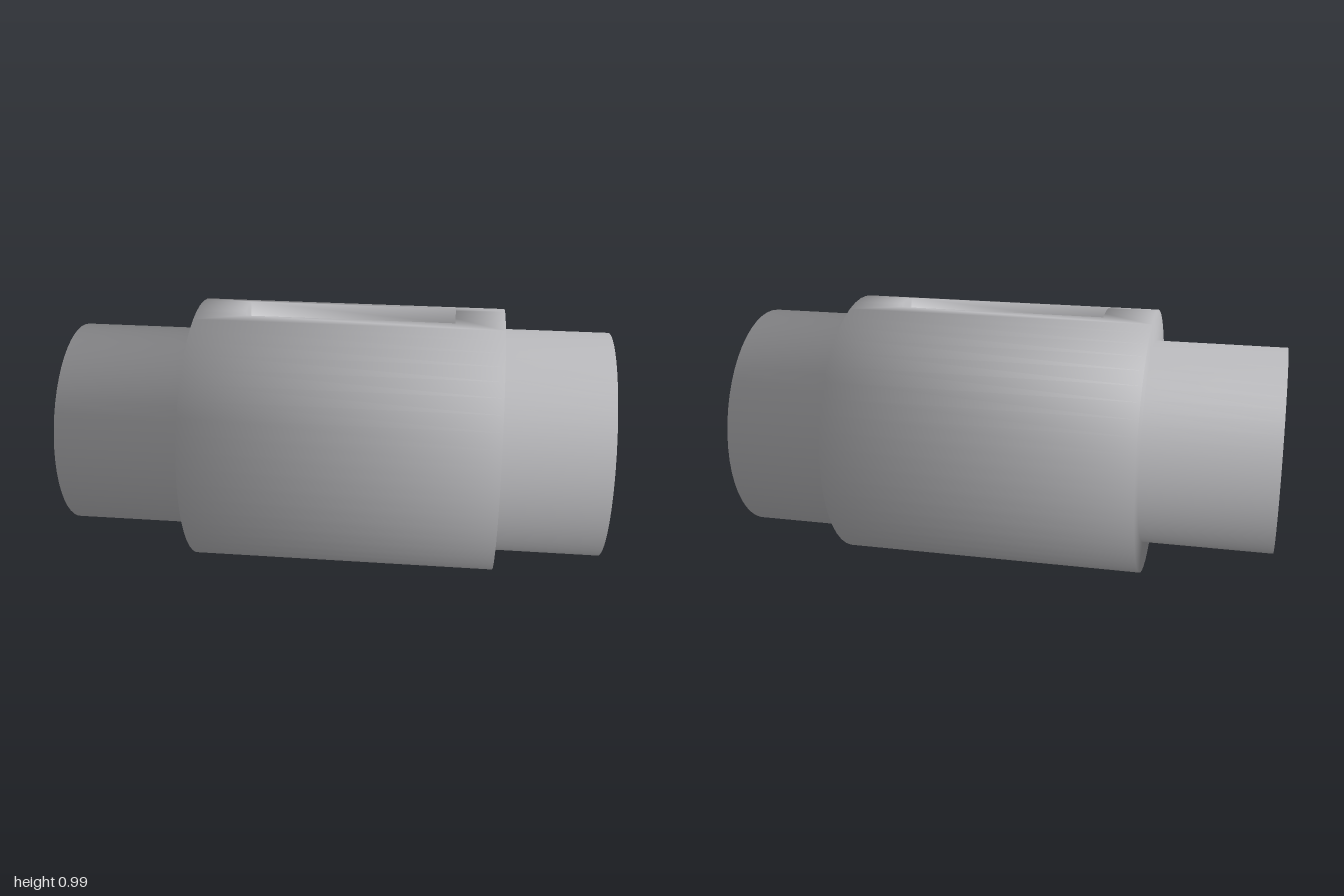
import * as THREE from 'three';

const SIDES = 52;
const BODY_R = 0.495;
const AXIS_Y = 0.495;
const SLOT = { x0: -0.34, x1: 0.43, halfWidth: 0.08, floorY: 0.925 };

// Closed half-section of the sleeve: [x, radius]
const PROFILE = [
  [-1, 0.267], [-1, 0.38], [-0.52, 0.38], [-0.52, BODY_R],
  [0.61, BODY_R], [0.61, 0.42], [1, 0.42], [1, 0.267],
];
const BODY_BAND = 3; // profile segment that carries the key slot

// Smooth normals weighted by corner angle, so short steps still soften long faces
function angleWeightedNormals(points, triangles) {
  const normals = points.map(() => new THREE.Vector3());
  for (const tri of triangles) {
    const p = tri.map((i) => points[i]);
    const face = p[1].clone().sub(p[0]).cross(p[2].clone().sub(p[0])).normalize();
    tri.forEach((v, c) => {
      const e1 = p[(c + 1) % 3].clone().sub(p[c]);
      const e2 = p[(c + 2) % 3].clone().sub(p[c]);
      normals[v].addScaledVector(face, e1.angleTo(e2));
    });
  }
  return normals.map((n) => n.normalize());
}

function sleeveGeometry() {
  const points = [];
  const triangles = [];
  const add = (x, y, z) => points.push(new THREE.Vector3(x, y, z)) - 1;
  const quad = (a, b, c, d) => triangles.push([a, b, c], [a, c, d]);

  // Rings around the x axis, angle 0 at the top
  const rings = PROFILE.map(([x, r]) => Array.from({ length: SIDES }, (_, j) => {
    const a = (j / SIDES) * Math.PI * 2;
    return add(x, AXIS_Y + r * Math.cos(a), r * Math.sin(a));
  }));
  const ring = (i, j) => rings[i % PROFILE.length][(j + SIDES) % SIDES];

  // Stepped outside, end faces and bore, leaving a gap for the slot
  for (let i = 0; i < PROFILE.length; i++) {
    for (let j = -2; j < SIDES - 2; j++) {
      if (i === BODY_BAND && j < 2) continue;
      quad(ring(i, j), ring(i, j + 1), ring(i + 1, j + 1), ring(i + 1, j));
    }
  }

  // Slot rim follows the body; the floor is flat
  const slotAngle = Math.asin(SLOT.halfWidth / BODY_R);
  const row = (x, isFloor) => [-2, -1, 0, 1, 2].map((k) => {
    const a = (slotAngle * k) / 2;
    const y = isFloor ? SLOT.floorY : AXIS_Y + BODY_R * Math.cos(a);
    return add(x, y, BODY_R * Math.sin(a));
  });
  const rimL = row(SLOT.x0, false);
  const rimR = row(SLOT.x1, false);
  const floorL = row(SLOT.x0, true);
  const floorR = row(SLOT.x1, true);
  const bodyL = [-2, -1, 0, 1, 2].map((k) => ring(BODY_BAND, k));
  const bodyR = [-2, -1, 0, 1, 2].map((k) => ring(BODY_BAND + 1, k));

  // Surround ends, slot end walls and floor
  const chain = [bodyL, rimL, floorL, floorR, rimR, bodyR];
  for (let s = 0; s < chain.length - 1; s++) {
    for (let k = 0; k < 4; k++) {
      quad(chain[s][k], chain[s][k + 1], chain[s + 1][k + 1], chain[s + 1][k]);
    }
  }

  // Surround sides and slot long walls
  quad(rimL[4], bodyL[4], bodyR[4], rimR[4]);
  quad(bodyL[0], rimL[0], rimR[0], bodyR[0]);
  quad(floorL[4], rimL[4], rimR[4], floorR[4]);
  quad(rimL[0], floorL[0], floorR[0], rimR[0]);

  const normals = angleWeightedNormals(points, triangles);
  const geometry = new THREE.BufferGeometry();
  const flat = (list) => new THREE.Float32BufferAttribute(list.flatMap((v) => v.toArray()), 3);
  geometry.setAttribute('position', flat(points));
  geometry.setAttribute('normal', flat(normals));
  geometry.setIndex(triangles.flat());
  return geometry;
}

export function createModel() {
  const steel = new THREE.MeshStandardMaterial({ color: 0xb3b3b6 });
  steel.name = 'grey steel';

  const group = new THREE.Group();
  group.name = 'slottedSleeve';
  const sleeve = new THREE.Mesh(sleeveGeometry(), steel);
  sleeve.name = 'steppedSleeve';
  group.add(sleeve);
  return group;
}
